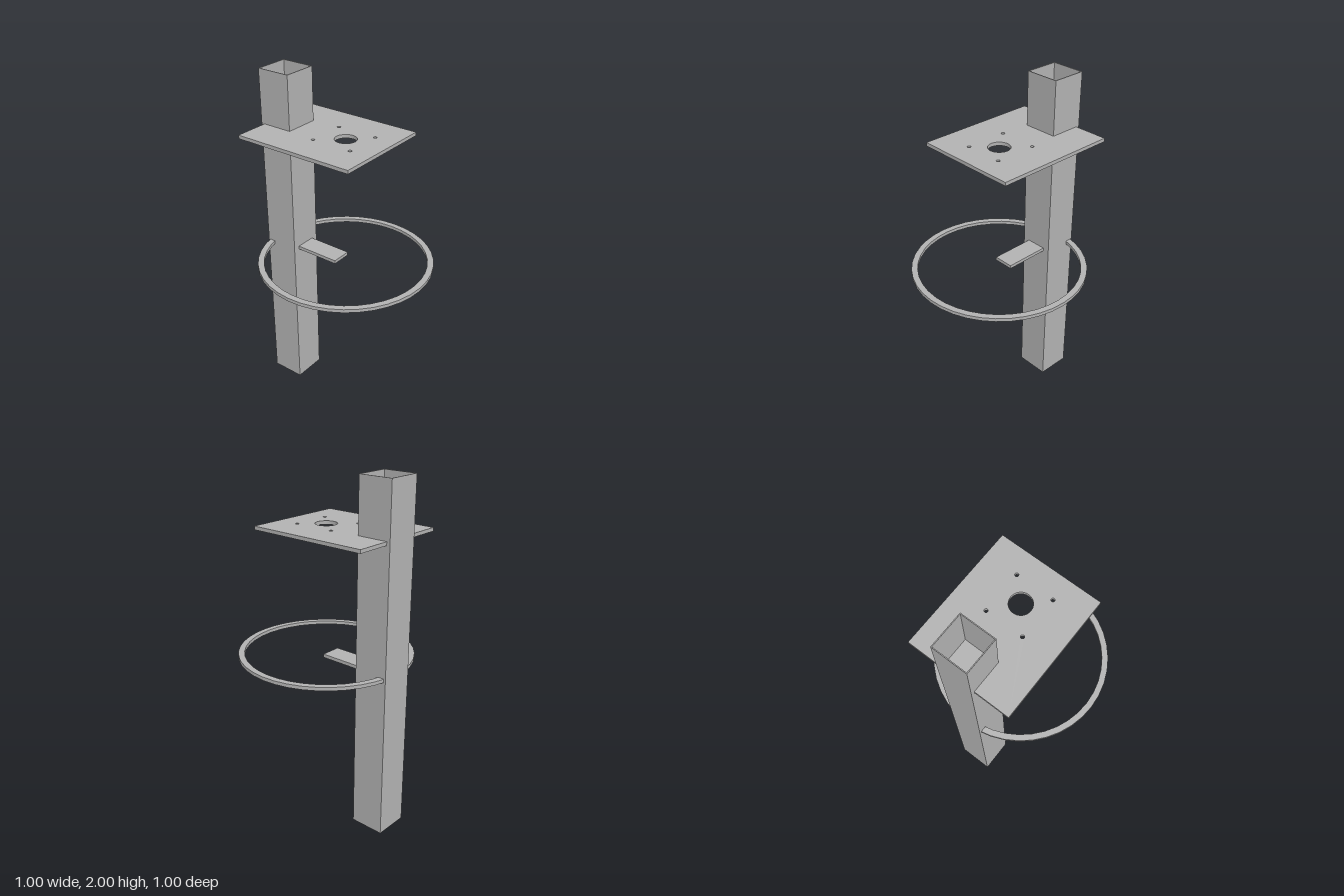
import * as THREE from 'three';

// Flat slab from a plan outline (shape x, y = model x, z), from y bottom to top
function slab(name, shape, bottom, top, material, curveSegments = 20) {
  const geometry = new THREE.ExtrudeGeometry(shape, {
    depth: top - bottom, bevelEnabled: false, curveSegments,
  });
  geometry.rotateX(Math.PI / 2);
  const mesh = new THREE.Mesh(geometry, material);
  mesh.name = name;
  mesh.position.y = top;
  return mesh;
}

function rectangle(x0, x1, z0, z1, Type = THREE.Shape) {
  return new Type([[x0, z0], [x1, z0], [x1, z1], [x0, z1]].map(([x, z]) => new THREE.Vector2(x, z)));
}

function circle(x, z, r, Type = THREE.Path) {
  return new Type().absarc(x, z, r, 0, Math.PI * 2, false);
}

export function createModel() {
  const group = new THREE.Group();
  group.name = 'postWithPlateAndRing';
  const steel = new THREE.MeshStandardMaterial({ color: 0xb2b2b2 });
  steel.name = 'grey steel';

  // Hollow square post, open at both ends
  const post = rectangle(-0.1, 0.1, -0.5, -0.3);
  post.holes.push(rectangle(-0.095, 0.095, -0.495, -0.305, THREE.Path));
  group.add(slab('post', post, 0, 2, steel));

  // Mounting plate with a centre opening and four bolt holes
  const plate = rectangle(-0.3, 0.3, -0.48, 0.24);
  plate.holes.push(circle(0, 0, 0.061));
  for (const x of [-0.11, 0.11]) {
    for (const z of [-0.13, 0.11]) plate.holes.push(circle(x, z, 0.01));
  }
  group.add(slab('mountingPlate', plate, 1.675, 1.695, steel));

  // Hoop around the plate axis, passing through the post
  const hoop = circle(0, 0, 0.5, THREE.Shape);
  hoop.holes.push(circle(0, 0, 0.465));
  group.add(slab('hoop', hoop, 0.945, 0.965, steel));

  // Short tab reaching from the post towards the hoop centre
  group.add(slab('supportTab', rectangle(-0.06, 0.06, -0.3, -0.032), 0.945, 0.965, steel));

  return group;
}
